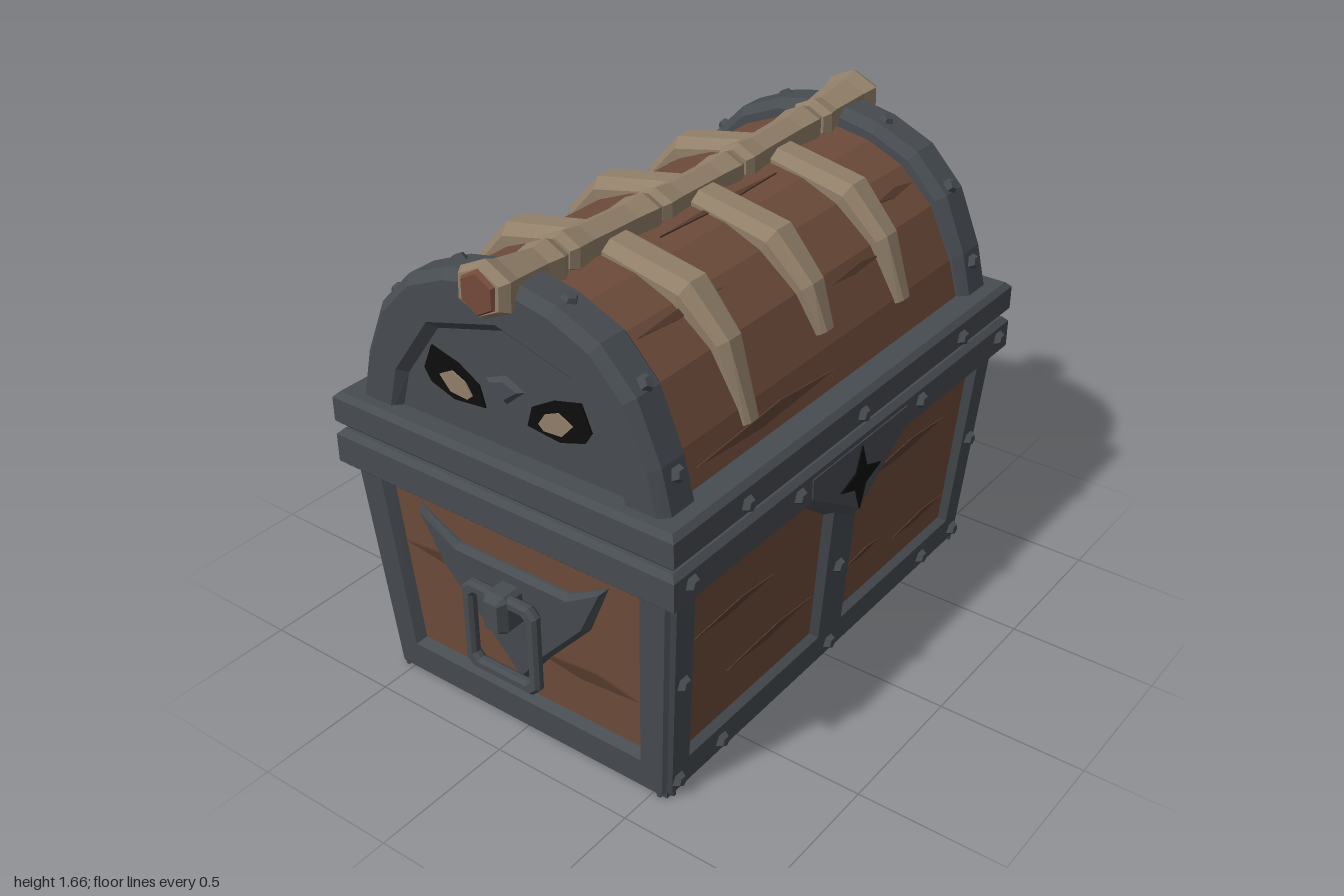
import * as THREE from 'three';

const mat = (name, color) => Object.assign(new THREE.MeshStandardMaterial({ color }), { name });

// Closed outline from [x, y] pairs
const poly = pts => new THREE.Shape(pts.map(([x, y]) => new THREE.Vector2(x, y)));

// Mirror a right-hand half outline (bottom to top) to the left
const sym = half => [...half, ...half.filter(p => p[0] !== 0).reverse().map(([x, y]) => [-x, y])];

// Chamfered plate of total thickness d whose front face lies at z = 0
function plate(pts, d, bt = 0, bs = 0, holes = []) {
  const shape = poly(pts);
  shape.holes = holes.map(poly);
  const geo = new THREE.ExtrudeGeometry(shape, {
    depth: d - 2 * bt, bevelEnabled: bt > 0, bevelThickness: bt, bevelSize: bs, bevelOffset: -bs, bevelSegments: 1,
  });
  return geo.translate(0, 0, bt - d);
}

// Chamfered horizontal slab between two heights
const slab = (x, z, y0, y1, b) =>
  plate([[-x, -z], [x, -z], [x, z], [-x, z]], y1 - y0, b, b).rotateX(-Math.PI / 2).translate(0, y1, 0);

// Skin between rings of equal point count, with end caps
function loft(rings) {
  const pos = [], n = rings[0].length;
  const tri = (...ps) => ps.forEach(p => pos.push(...p));
  for (let i = 0; i < rings.length - 1; i++) {
    for (let j = 0; j < n; j++) {
      const k = (j + 1) % n, a = rings[i], b = rings[i + 1];
      tri(a[j], b[j], a[k]);
      tri(b[j], b[k], a[k]);
    }
  }
  const first = rings[0], last = rings[rings.length - 1];
  for (let j = 1; j < n - 1; j++) {
    tri(first[0], first[j], first[j + 1]);
    tri(last[0], last[j + 1], last[j]);
  }
  const geo = new THREE.BufferGeometry();
  geo.setAttribute('position', new THREE.Float32BufferAttribute(pos, 3));
  return geo;
}

// The lower box widens toward the top
const flare = (x, y, z) => [x * (1 + 0.074 * y), y, z * (1 + 0.137 * y)];

export function createModel() {
  const group = new THREE.Group();
  const wood = mat('wood', 0x6e4c3b), groove = mat('dark wood', 0x573c2e), metal = mat('iron', 0x474c51);
  const bone = mat('bone', 0x917f69), marrow = mat('marrow', 0x74493a), black = mat('black', 0x0d0d0e);

  function add(name, geo, material, flared = false) {
    const g = geo.index ? geo.toNonIndexed() : geo;
    if (flared) {
      const p = g.attributes.position;
      for (let i = 0; i < p.count; i++) p.setXYZ(i, ...flare(p.getX(i), p.getY(i), p.getZ(i)));
    }
    g.computeVertexNormals();
    const mesh = new THREE.Mesh(g, material);
    mesh.name = name;
    group.add(mesh);
  }

  // Place a plate on the front/back (s = 1/-1) or on the left/right end
  const onFace = (geo, s, z) => geo.translate(0, 0, z).rotateY(s > 0 ? 0 : Math.PI);
  const onEnd = (geo, s, x) => geo.translate(0, 0, x).rotateY(s * Math.PI / 2);

  function rivet(p, normal) {
    const geo = new THREE.CylinderGeometry(0.018, 0.035, 0.032, 5).translate(0, 0.004, 0);
    const q = new THREE.Quaternion().setFromUnitVectors(new THREE.Vector3(0, 1, 0), new THREE.Vector3(...normal).normalize());
    add('rivet', geo.applyQuaternion(q).translate(...p), metal);
  }

  // Sliver-shaped gouge in a plank
  const crack = (x0, x1, y, h) =>
    plate([[x0, y], [x0 + (x1 - x0) * 0.45, y - h / 2], [x1, y - h * 0.1], [x0 + (x1 - x0) * 0.6, y + h / 2]], 0.008);

  // Lower box
  add('boxPlanks', new THREE.BoxGeometry(1.68, 0.8, 1.07).translate(0, 0.41, 0), wood, true);
  add('boxBottom', new THREE.BoxGeometry(1.72, 0.03, 1.1).translate(0, 0.015, 0), metal, true);
  const faceOutline = x => [[-x, 0], [x, 0], [x, 0.88], [-x, 0.88]];
  const leftHole = [[-0.745, 0.14], [-0.09, 0.14], [-0.09, 0.62], [-0.28, 0.775], [-0.745, 0.775]];
  const rightHole = leftHole.map(([x, y]) => [-x, y]).reverse();
  const rectHole = x => [[-x, 0.14], [x, 0.14], [x, 0.775], [-x, 0.775]];
  add('frontFrame', onFace(plate(faceOutline(0.87), 0.07, 0.03, 0.022, [leftHole, rightHole]), 1, 0.56), metal, true);
  add('backFrame', onFace(plate(faceOutline(0.87), 0.07, 0.03, 0.022, [rectHole(0.745)]), -1, 0.56), metal, true);

  // Lock plate, flush with the rim, with star keyhole
  add('lockPlate', plate([[0, 0.59], [0.3, 0.785], [0.3, 0.9], [-0.3, 0.9], [-0.3, 0.785]], 0.09, 0.03, 0.03).translate(0, 0, 0.653), metal);
  const star = Array.from({ length: 8 }, (_, i) => {
    const r = i % 2 ? 0.043 : 0.116, a = i * Math.PI / 4;
    return [r * Math.cos(a), 0.742 + r * Math.sin(a)];
  });
  add('keyhole', plate(star, 0.008).translate(0, 0, 0.658), black);

  // Plank gouges on the box
  const gouges = [[-0.74, -0.34, 0.55, 0.03], [-0.56, -0.1, 0.305, 0.03], [0.12, 0.63, 0.62, 0.04], [0.1, 0.3, 0.3, 0.025], [0.4, 0.74, 0.24, 0.03]];
  for (const g of gouges) for (const s of [1, -1]) add('plankGouge', onFace(crack(...g), s, 0.538), groove, true);

  // Rims and seam
  add('boxRim', slab(0.95, 0.65, 0.775, 0.907, 0.018), metal);
  add('rimSeam', slab(0.92, 0.62, 0.88, 0.95, 0.005), metal);
  add('lidRim', slab(0.95, 0.65, 0.92, 1.038, 0.018), metal);

  // Curved lid planks
  const lidHalf = [[0.555, 1.02], [0.515, 1.16], [0.43, 1.335], [0.31, 1.45], [0.18, 1.505], [0, 1.535]];
  add('lidPlanks', onEnd(plate(sym(lidHalf), 1.6), 1, 0.8), wood);
  const lidCracks = [[0, 0.5, -0.7, 0, 0.04], [1, 0.8, 0.1, 0.4, 0.025], [2, 0.8, -0.7, -0.3, 0.03], [2, 0.6, 0.5, 0.73, 0.03], [4, 0.4, -0.3, 0.3, 0.025]];
  for (const [i, t, x0, x1, h] of lidCracks) {
    const [z0, y0] = lidHalf[i], [z1, y1] = lidHalf[i + 1];
    for (const s of [1, -1]) {
      const geo = crack(x0, x1, 0, h).translate(0, 0, 0.006).rotateX(-Math.atan2(z0 - z1, y1 - y0));
      add('lidGouge', onFace(geo.translate(0, y0 + (y1 - y0) * t, 0), s, z0 + (z1 - z0) * t), groove);
    }
  }

  // Both ends: frame, arch, face, plaque and handle
  const arch = sym([[0.605, 0.95], [0.55, 1.18], [0.47, 1.37], [0.35, 1.495], [0.2, 1.56], [0, 1.6]]);
  const archHole = sym([[0.425, 1.02], [0.386, 1.16], [0.25, 1.35], [0, 1.42]]);
  const plaque = [[0, 0.19], [0.115, 0.34], [0.265, 0.52], [0.335, 0.715], [0.2, 0.63], [-0.2, 0.63], [-0.335, 0.715], [-0.265, 0.52], [-0.115, 0.34]];
  const ring = (w, y0, y1, c) => [[w - c, y0], [w, y0 + c], [w, y1 - c], [w - c, y1], [c - w, y1], [-w, y1 - c], [-w, y0 + c], [c - w, y0]];
  const eye = [[0.08, 1.148], [0.2, 1.135], [0.29, 1.165], [0.315, 1.205], [0.28, 1.288], [0.18, 1.262], [0.1, 1.215]];
  const iris = [[0.125, 1.172], [0.145, 1.155], [0.21, 1.16], [0.25, 1.205], [0.2, 1.232], [0.15, 1.21]];
  for (const s of [1, -1]) {
    add('endFrame', onEnd(plate(faceOutline(0.56), 0.07, 0.03, 0.022, [rectHole(0.435)]), s, 0.87), metal, true);
    add('lidArch', onEnd(plate(arch, 0.16, 0.03, 0.03, [archHole]), s, 0.9), metal);
    add('lidEndPanel', onEnd(plate(sym([[0.48, 1.0], [0.43, 1.18], [0.3, 1.38], [0, 1.46]]), 0.05), s, 0.871), metal);
    for (const m of [1, -1]) {
      const flip = pts => (m > 0 ? pts : pts.map(([x, y]) => [-x, y]).reverse());
      add('eye', onEnd(plate(flip(eye), 0.008), s, 0.877), black);
      add('iris', onEnd(plate(flip(iris), 0.008), s, 0.882), bone);
    }
    add('browRidge', onEnd(plate([[0, 1.18], [0.08, 1.25], [0, 1.285], [-0.08, 1.25]], 0.04, 0.018, 0.02), s, 0.885), metal);
    add('plaque', onEnd(plate(plaque, 0.06, 0.02, 0.016), s, 0.868), metal, true);
    add('handleRing', onEnd(plate(ring(0.148, 0.25, 0.575, 0.03), 0.04, 0.012, 0.01, [ring(0.108, 0.29, 0.535, 0.015)]), s, 0.97), metal);
    add('handleBracket', onEnd(plate(ring(0.045, 0.445, 0.58, 0.015), 0.14, 0.03, 0.018), s, 0.998), metal);
    for (const g of [[-0.43, -0.1, 0.53, 0.04], [0.05, 0.43, 0.33, 0.05]]) add('endGouge', onEnd(crack(...g), s, 0.846), groove, true);

    // Rivets over each arch
    for (const m of [1, -1]) for (const [z, y, ny] of [[0.56, 1.14, 0.25], [0.455, 1.385, 0.7], [0.2, 1.555, 2.2]]) {
      rivet([s * 0.815, y, m * z], [0, ny, m]);
    }
  }

  // Rivets on the front and back
  for (const s of [1, -1]) {
    const lower = s > 0 ? [-0.82, -0.6, 0, 0.6, 0.82] : [-0.82, -0.3, 0.3, 0.82];
    lower.forEach(x => rivet(flare(x, 0.06, s * 0.56), [0, 0, s]));
    [-0.81, 0.81].forEach(x => rivet(flare(x, 0.45, s * 0.56), [0, 0, s]));
    (s > 0 ? [-0.87, -0.34, 0.36, 0.88] : [-0.87, 0, 0.87]).forEach(x => rivet([x, 0.85, s * 0.65], [0, 0, s]));
    (s > 0 ? [-0.61, 0, 0.61] : [-0.67, 0, 0.65]).forEach(x => rivet([x, 0.97, s * 0.65], [0, 0, s]));
  }
  rivet(flare(0, 0.38, 0.56), [0, 0, 1]);

  // Back hinges
  for (const x of [-0.43, 0.43]) add('hinge', onFace(plate([[x - 0.1, 0.88], [x + 0.1, 0.88], [x + 0.1, 0.965], [x - 0.1, 0.965]], 0.05, 0.01, 0.01), -1, 0.668), metal);

  // Spine of bones: [x0, x1, y, left radius, right radius, tilt]
  const spine = [[0.65, 0.955, 1.565, 0.074, 0.094, 0.05], [0.215, 0.64, 1.555, 0.068, 0.07, 0.03],
    [-0.21, 0.205, 1.545, 0.066, 0.066, 0], [-0.64, -0.215, 1.555, 0.07, 0.068, -0.03], [-0.955, -0.65, 1.565, 0.094, 0.074, -0.05]];
  for (const [x0, x1, y, r0, r1, tilt] of spine) {
    const h = (x1 - x0) / 2;
    const profile = [[0, -h], [r0 * 0.8, -h], [r0, -h + 0.03], [r0 * 0.84, -h * 0.5], [r1 * 0.84, h * 0.45], [r1, h - 0.03], [r1 * 0.8, h], [0, h]];
    const geo = new THREE.LatheGeometry(profile.map(p => new THREE.Vector2(...p)), 6, Math.PI / 2);
    add('spineBone', geo.scale(0.95, 1, 1.12).rotateZ(tilt - Math.PI / 2).translate((x0 + x1) / 2, y, 0), bone);
  }
  for (const s of [1, -1]) {
    add('spineEnd', new THREE.CylinderGeometry(0.062, 0.074, 0.016, 6, 1, false, Math.PI / 2).rotateZ(-s * Math.PI / 2).translate(s * 0.957, 1.57, 0), marrow);
  }

  // Ribs wrapped over the lid: [x, tip z, tip y]
  for (const [x, tz, ty] of [[-0.43, 0.53, 1.11], [0, 0.505, 1.21], [0.42, 0.525, 1.15]]) {
    const half = [[tz, ty, 0.035, 0.018], [0.435, 1.34, 0.058, 0.045], [0.32, 1.46, 0.075, 0.055]];
    const path = [...half.map(([z, ...rest]) => [-z, ...rest]), [0, 1.535, 0.075, 0.04], ...[...half].reverse()];
    add('rib', loft(path.map(([z, y, w, t], i) => {
      const a = path[Math.max(i - 1, 0)], b = path[Math.min(i + 1, path.length - 1)];
      const len = Math.hypot(b[0] - a[0], b[1] - a[1]), nz = (a[1] - b[1]) / len, ny = (b[0] - a[0]) / len;
      return [[-w, -0.03], [-w, t * 0.4], [-w * 0.5, t], [w * 0.5, t], [w, t * 0.4], [w, -0.03]]
        .map(([u, n]) => [x + u, y + ny * n, z + nz * n]);
    })), bone);
  }
  return group;
}
